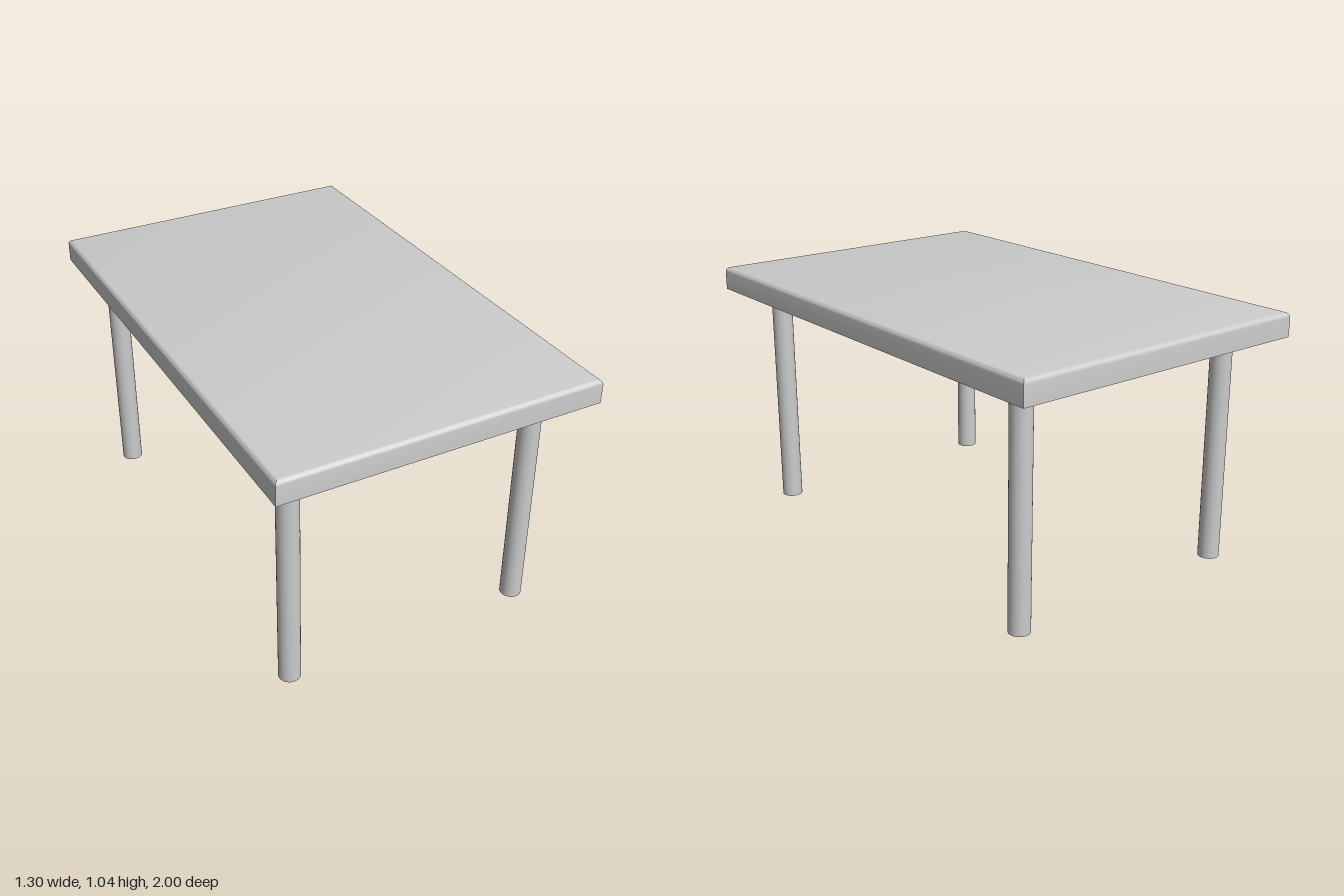
import * as THREE from 'three';
import { toCreasedNormals } from 'three/addons/utils/BufferGeometryUtils.js';

const HALF_X = 0.652, HALF_Z = 1, TOP = 1.045, UNDERSIDE = 0.948;
const FILLET = 0.02, STEPS = 6;
const LEG_RADIUS = 0.043;

// Slab with mitred corners: rectangles stacked upwards, drawn in along the rounded top edge
function slabGeometry() {
  const rings = [[UNDERSIDE, 0]];
  for (let i = 0; i <= STEPS; i++) {
    const a = (i / STEPS) * Math.PI / 2;
    rings.push([TOP - FILLET + FILLET * Math.sin(a), FILLET * (1 - Math.cos(a))]);
  }
  const positions = [], index = [];
  for (const [y, inset] of rings) {
    const x = HALF_X - inset, z = HALF_Z - inset;
    positions.push(x, y, z, x, y, -z, -x, y, -z, -x, y, z);
  }
  for (let r = 0; r < rings.length - 1; r++) {
    for (let i = 0; i < 4; i++) {
      const a = r * 4 + i, b = r * 4 + (i + 1) % 4;
      index.push(a, b, b + 4, a, b + 4, a + 4);
    }
  }
  // underside and top faces
  const t = (rings.length - 1) * 4;
  index.push(0, 2, 1, 0, 3, 2, t, t + 1, t + 2, t, t + 2, t + 3);

  const geometry = new THREE.BufferGeometry();
  geometry.setAttribute('position', new THREE.Float32BufferAttribute(positions, 3));
  geometry.setIndex(index);
  return toCreasedNormals(geometry, Math.PI / 6);
}

export function createModel() {
  const model = new THREE.Group();
  model.name = 'table';
  const material = new THREE.MeshStandardMaterial({ color: 0xcccccc });

  const tabletop = new THREE.Mesh(slabGeometry(), material);
  tabletop.name = 'tabletop';
  model.add(tabletop);

  // Four round legs, set slightly off centre under the top
  const legGeometry = new THREE.CylinderGeometry(LEG_RADIUS, LEG_RADIUS, UNDERSIDE, 32);
  for (const [side, x] of [['Left', 0.481], ['Right', -0.524]]) {
    for (const [end, z] of [['front', 0.829], ['back', -0.787]]) {
      const leg = new THREE.Mesh(legGeometry, material);
      leg.name = `${end}${side}Leg`;
      leg.position.set(x, UNDERSIDE / 2, z);
      model.add(leg);
    }
  }
  return model;
}
